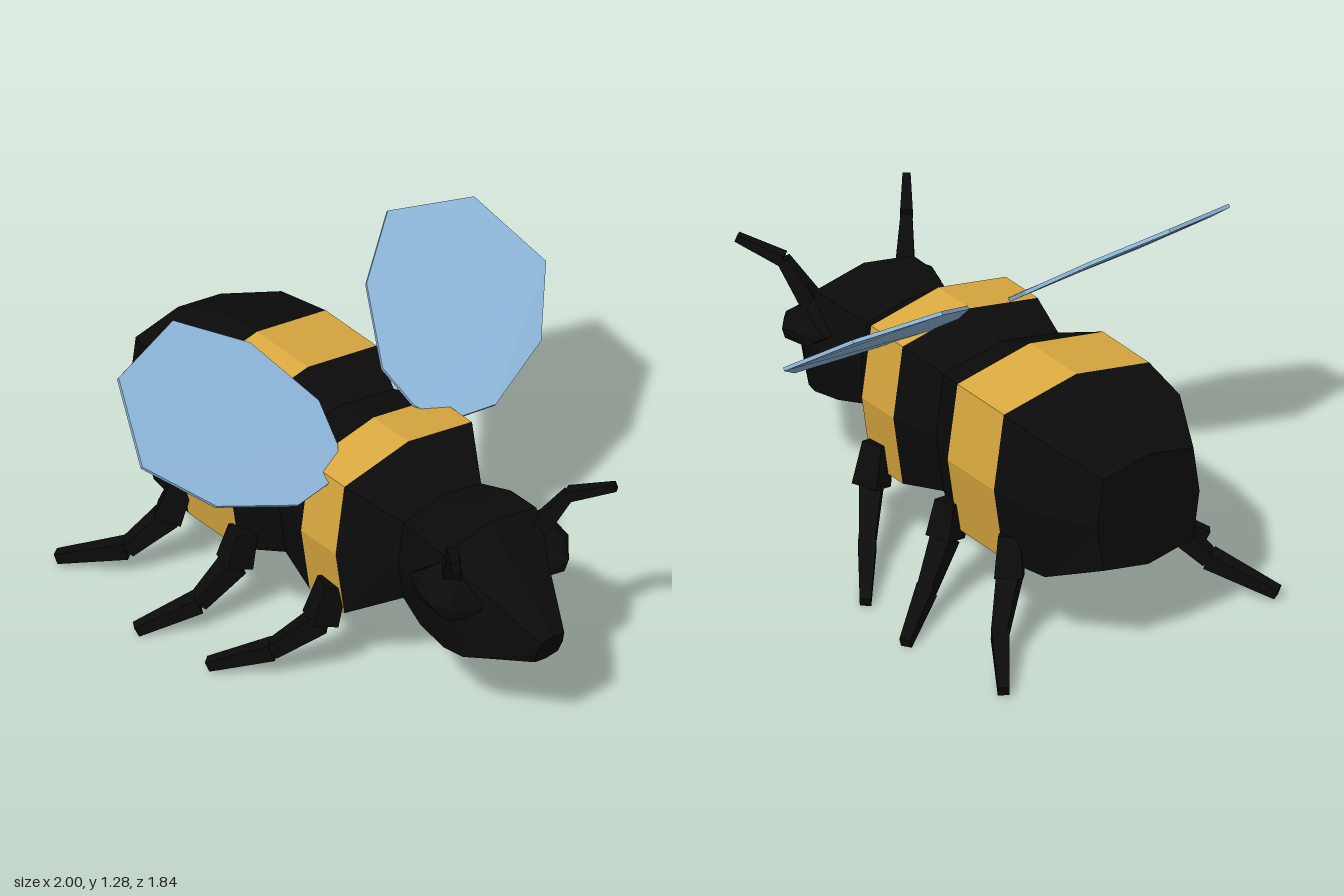
import * as THREE from 'three';
import { ConvexGeometry } from 'three/addons/geometries/ConvexGeometry.js';

const V = (x, y, z) => new THREE.Vector3(x, y, z);
const mat = (color) => new THREE.MeshStandardMaterial({ color, flatShading: true });

// Closed skin over rings of points; each ring runs counter-clockwise about the travel direction
function loft(rings) {
  const pos = [], n = rings[0].length;
  const tri = (...pts) => pts.forEach((p) => pos.push(p.x, p.y, p.z));
  for (let i = 0; i < rings.length - 1; i++) {
    const r = rings[i], s = rings[i + 1];
    for (let k = 0; k < n; k++) {
      const m = (k + 1) % n;
      tri(r[k], r[m], s[k]);
      tri(r[m], s[m], s[k]);
    }
  }
  const a = rings[0], b = rings[rings.length - 1];
  for (let k = 1; k < n - 1; k++) {
    tri(a[0], a[k + 1], a[k]);
    tri(b[0], b[k], b[k + 1]);
  }
  const g = new THREE.BufferGeometry();
  g.setAttribute('position', new THREE.Float32BufferAttribute(pos, 3));
  g.computeVertexNormals();
  return g;
}

// Body cross-section: squarish octagon, as [y, z] factors
const OCT = [[1, 0], [0.83, 0.88], [0, 1], [-0.83, 0.88], [-1, 0], [-0.83, -0.88], [0, -1], [0.83, -0.88]];
const bodyRing = ([x, lo, hi, w, lean = 0]) =>
  OCT.map(([y, z]) => V(x + lean * y, (lo + hi) / 2 + (y * (hi - lo)) / 2, z * w));

// Tapered limb segment with a square section
function limb(a, b, ra, rb) {
  const d = b.clone().sub(a).normalize();
  const u = V(0, 1, 0).cross(d).normalize();
  const v = d.clone().cross(u);
  const ring = (c, r) => [[1, 1], [-1, 1], [-1, -1], [1, -1]].map(([p, q]) =>
    c.clone().addScaledVector(u, p * r).addScaledVector(v, q * r));
  return loft([ring(a, ra), ring(b, rb)]);
}

export function createModel() {
  const bee = new THREE.Group();
  bee.name = 'bee';
  const black = mat(0x0b0b0b), yellow = mat(0xdcaa40), blue = mat(0x8fb8dc);
  const add = (parent, name, geometry, material) => {
    const mesh = new THREE.Mesh(geometry, material);
    mesh.name = name;
    parent.add(mesh);
  };

  // Body sections: x, bottom, top, half width, lean
  const sections = [
    [-1, 0.365, 0.8, 0.22], [-0.79, 0.26, 0.9, 0.33], [-0.58, 0.24, 0.93, 0.355],
    [-0.31, 0.24, 0.93, 0.355], [-0.14, 0.3, 0.86, 0.28], [0.04, 0.255, 0.91, 0.33],
    [0.225, 0.255, 0.91, 0.33], [0.405, 0.39, 0.78, 0.2],
  ];
  const head = [
    [0.405, 0.39, 0.78, 0.2], [0.53, 0.355, 0.81, 0.235], [0.66, 0.33, 0.81, 0.24],
    [0.73, 0.32, 0.745, 0.21], [0.81, 0.345, 0.67, 0.16], [0.978, 0.39, 0.505, 0.06, 0.02],
  ];
  const body = (name, list, m) => add(bee, name, loft(list.map(bodyRing)), m);
  body('abdomenEnd', sections.slice(0, 3), black);
  body('abdomenStripe', sections.slice(2, 4), yellow);
  body('waist', sections.slice(3, 6), black);
  body('thoraxStripe', sections.slice(5, 7), yellow);
  body('neck', sections.slice(6), black);
  body('head', head, black);

  // Leg joints from hip to foot
  const legs = {
    front: [[0.17, 0.42, 0.3], [0.155, 0.27, 0.34], [0.03, 0.125, 0.45], [-0.15, 0.025, 0.59]],
    middle: [[-0.28, 0.4, 0.32], [-0.29, 0.27, 0.35], [-0.345, 0.125, 0.47], [-0.465, 0.025, 0.65]],
    rear: [[-0.615, 0.41, 0.31], [-0.65, 0.27, 0.34], [-0.745, 0.125, 0.45], [-0.955, 0.035, 0.59]],
  };
  const segments = [['hip', 0.04, 0.05], ['thigh', 0.04, 0.028], ['shin', 0.032, 0.02]];

  const wingOutline = [
    [-0.12, 1.047, 0.92], [-0.375, 1.235, 0.81], [-0.46, 1.28, 0.49], [-0.31, 1.16, 0.265],
    [-0.085, 0.98, 0.145], [0.05, 0.88, 0.175], [0.135, 0.825, 0.24], [0.162, 0.815, 0.45],
    [0.065, 0.895, 0.74],
  ];
  const eyePoints = [
    [0.54, 0.65, 0.26], [0.6, 0.6, 0.29], [0.63, 0.72, 0.27], [0.66, 0.745, 0.22],
    [0.63, 0.65, 0.31], [0.71, 0.63, 0.315], [0.74, 0.57, 0.28], [0.8, 0.57, 0.22],
    [0.8, 0.61, 0.24], [0.76, 0.66, 0.26], [0.55, 0.64, 0.12], [0.8, 0.59, 0.12], [0.72, 0.71, 0.14],
  ];

  for (const [side, s] of [['left', -1], ['right', 1]]) {
    const half = new THREE.Group();
    half.name = side === 'left' ? 'farSide' : 'nearSide';
    bee.add(half);
    const P = ([x, y, z]) => V(x, y, z * s);

    for (const [where, joints] of Object.entries(legs)) {
      const leg = new THREE.Group();
      leg.name = where + 'Leg';
      half.add(leg);
      const pts = joints.map(P);
      segments.forEach(([name, ra, rb], i) => add(leg, name, limb(pts[i], pts[i + 1], ra, rb), black));
    }

    // Antenna: thick base, thinner tip
    const [a, b, c] = [[0.69, 0.71, 0.2], [0.77, 0.865, 0.265], [0.905, 0.925, 0.365]].map(P);
    add(half, 'antennaBase', limb(a, b, 0.034, 0.02), black);
    add(half, 'antennaTip', limb(b, c, 0.022, 0.014), black);

    add(half, 'eye', new ConvexGeometry(eyePoints.map(P)), black);

    // Wing: thin faceted plate
    const rim = wingOutline.map(P);
    const n = rim[3].clone().sub(rim[0]).cross(rim[6].clone().sub(rim[0])).normalize();
    const wingRing = (k) => rim.map((p) => p.clone().addScaledVector(n, k * 0.007));
    add(half, 'wing', loft([wingRing(-1), wingRing(1)]), blue);
  }
  return bee;
}
